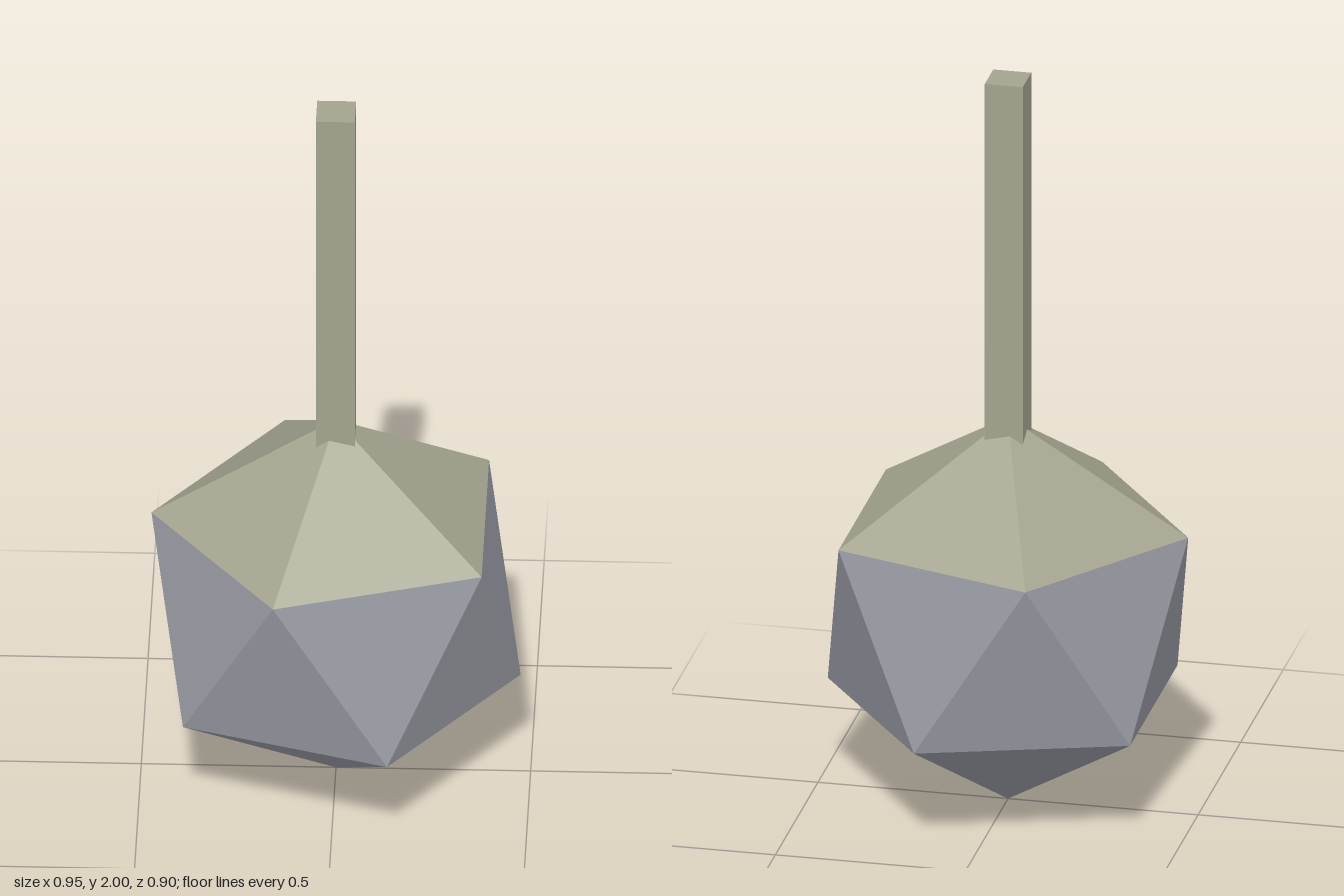
import * as THREE from 'three';

const SIDES = 5;
const R = 0.53;                       // circumscribed radius of the faceted body
const RING = R * 2 / Math.sqrt(5);    // radius of its two vertex rings
const RISE = R / Math.sqrt(5);        // height of the rings above and below the middle

function ring(y, offset) {
  return Array.from({ length: SIDES }, (_, k) => {
    const a = Math.PI + offset + (k * 2 * Math.PI) / SIDES;
    return new THREE.Vector3(RING * Math.cos(a), y, RING * Math.sin(a));
  });
}

// Unshared corners keep every facet flat
function facets(name, triangles, material) {
  const geometry = new THREE.BufferGeometry().setFromPoints(triangles.flat());
  geometry.computeVertexNormals();
  const mesh = new THREE.Mesh(geometry, material);
  mesh.name = name;
  return mesh;
}

export function createModel() {
  const olive = new THREE.MeshStandardMaterial({ color: 0xa3a38f });
  olive.name = 'olive';
  const grey = new THREE.MeshStandardMaterial({ color: 0x999ba4 });
  grey.name = 'blue grey';

  const upper = ring(R + RISE, 0);
  const lower = ring(R - RISE, Math.PI / SIDES);
  const top = new THREE.Vector3(0, 2 * R, 0);
  const bottom = new THREE.Vector3(0, 0, 0);

  const cap = [], body = [];
  for (let k = 0; k < SIDES; k++) {
    const n = (k + 1) % SIDES;
    cap.push([top, upper[n], upper[k]]);
    body.push([lower[k], upper[k], upper[n]]);    // belt, pointing down
    body.push([upper[n], lower[n], lower[k]]);    // belt, pointing up
    body.push([bottom, lower[k], lower[n]]);      // underside
  }

  // Square stem rising out of the cap
  const stemBase = 0.95;
  const stem = new THREE.Mesh(new THREE.BoxGeometry(0.1, 2 - stemBase, 0.1), olive);
  stem.position.y = (2 + stemBase) / 2;
  stem.name = 'stem';

  const model = new THREE.Group();
  model.name = 'facetedBulb';
  model.add(facets('body', body, grey), facets('cap', cap, olive), stem);
  return model;
}
